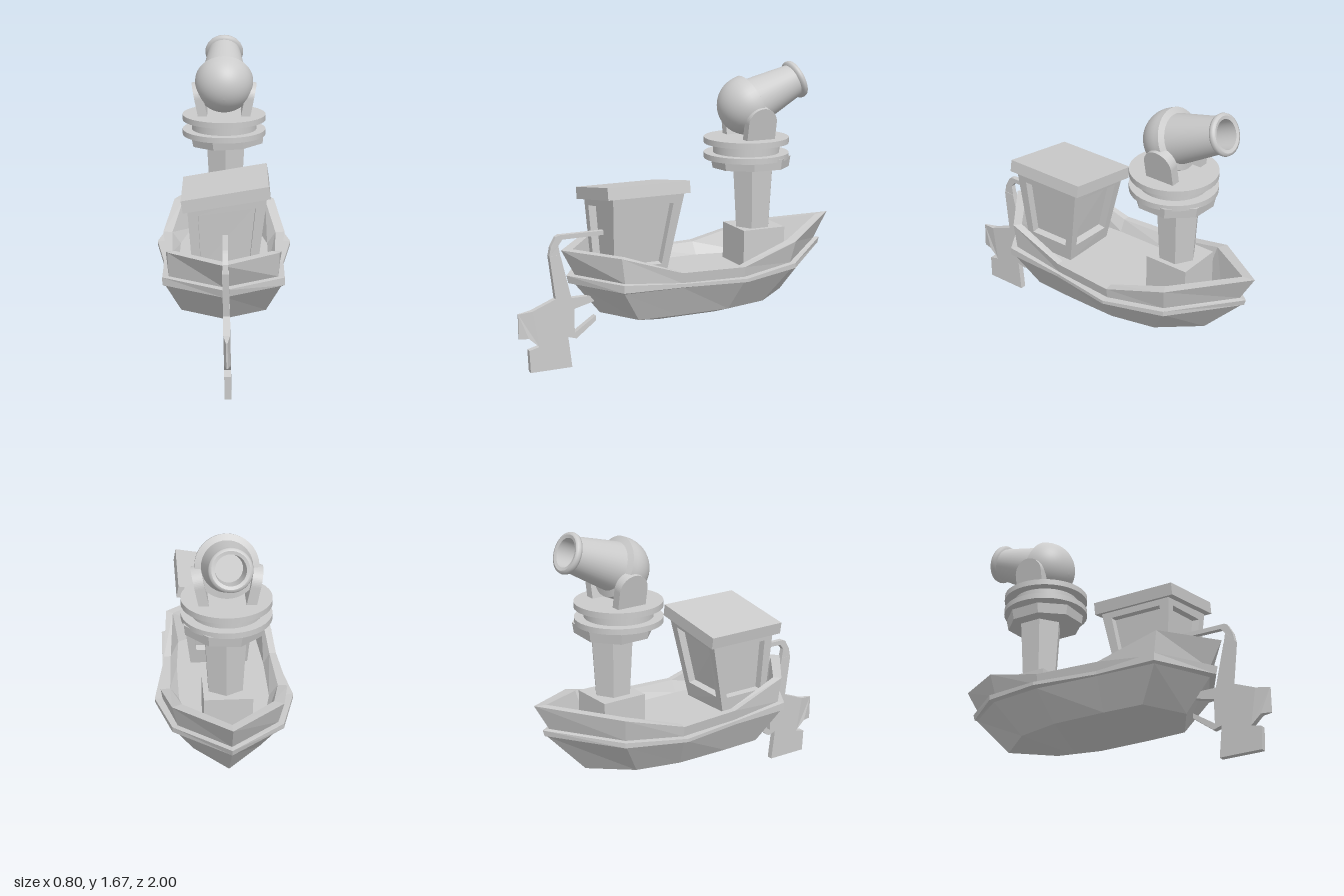
import * as THREE from 'three';

const V = (x, y, z) => new THREE.Vector3(x, y, z);
const flat = new THREE.MeshStandardMaterial({ color: 0xcccccc, flatShading: true });
const thin = new THREE.MeshStandardMaterial({ color: 0xcccccc, flatShading: true, side: THREE.DoubleSide });
const smooth = new THREE.MeshStandardMaterial({ color: 0xcccccc });

function add(parent, name, geometry, material, x = 0, y = 0, z = 0) {
  const mesh = new THREE.Mesh(geometry, material);
  mesh.name = name;
  mesh.position.set(x, y, z);
  parent.add(mesh);
  return mesh;
}

// Faceted geometry from quads of four corners each
function quadGeometry(quads) {
  const pts = [];
  for (const [a, b, c, d] of quads) pts.push(a, b, c, a, c, d);
  const g = new THREE.BufferGeometry().setFromPoints(pts);
  g.computeVertexNormals();
  return g;
}

// Half outline from bow to stern as [x, y, z], mirrored to a closed ring
function ring(half) {
  const right = half.map(p => V(...p));
  const left = half.slice(1, -1).reverse().map(([x, y, z]) => V(-x, y, z));
  return [...right, ...left];
}

// Skin a stack of rings
function skin(rings) {
  const quads = [];
  for (let k = 0; k + 1 < rings.length; k++) {
    const a = rings[k], b = rings[k + 1], n = a.length;
    for (let i = 0; i < n; i++) {
      const j = (i + 1) % n;
      quads.push([a[i], b[i], b[j], a[j]]);
    }
  }
  return quadGeometry(quads);
}

function buildHull() {
  const keel = [[0, 0.2, -0.24], [0, 0.2, -0.24], [0, 0.2, -0.22], [0, 0.2, 0.13], [0, 0.2, 0.13], [0, 0.2, 0.13]];
  const chine = [[0, 0.29, -0.68], [0.19, 0.29, -0.46], [0.25, 0.29, -0.2], [0.25, 0.29, 0.12], [0.24, 0.29, 0.36], [0, 0.29, 0.5]];
  const shoulder = [[0, 0.54, -0.92], [0.29, 0.49, -0.59], [0.36, 0.475, -0.25], [0.335, 0.475, 0.13], [0.32, 0.475, 0.48], [0, 0.475, 0.65]];
  const railLow = [[0, 0.55, -0.94], [0.31, 0.5, -0.61], [0.4, 0.48, -0.25], [0.345, 0.48, 0.13], [0.34, 0.485, 0.49], [0, 0.485, 0.69]];
  const railTop = [[0, 0.585, -0.95], [0.31, 0.53, -0.61], [0.4, 0.5, -0.25], [0.345, 0.5, 0.13], [0.34, 0.53, 0.49], [0, 0.53, 0.7]];
  const wallLow = [[0, 0.585, -0.91], [0.28, 0.53, -0.59], [0.355, 0.5, -0.25], [0.325, 0.5, 0.13], [0.305, 0.53, 0.47], [0, 0.53, 0.65]];
  const wallTop = [[0, 0.74, -1], [0.31, 0.66, -0.61], [0.365, 0.56, -0.25], [0.335, 0.56, 0.13], [0.31, 0.675, 0.49], [0, 0.68, 0.73]];
  const inner = [[0, 0.73, -0.92], [0.255, 0.66, -0.58], [0.31, 0.56, -0.24], [0.295, 0.56, 0.13], [0.27, 0.675, 0.46], [0, 0.68, 0.66]];
  const deck = [[0, 0.49, -0.8], [0.2, 0.49, -0.55], [0.26, 0.49, -0.24], [0.26, 0.49, 0.13], [0.24, 0.49, 0.43], [0, 0.49, 0.58]];
  const centre = deck.map(([, y, z]) => [0, y, z]);
  return skin([keel, chine, shoulder, railLow, railTop, wallLow, wallTop, inner, deck, centre].map(ring));
}

// Tapered cabin whose four walls each have a recessed window
function buildCabin() {
  const bottom = [V(-0.165, 0.48, 0.48), V(0.175, 0.48, 0.48), V(0.175, 0.48, 0.17), V(-0.165, 0.48, 0.17)];
  const top = [V(-0.2, 0.95, 0.51), V(0.24, 1.02, 0.51), V(0.24, 1.02, 0.07), V(-0.2, 0.95, 0.07)];
  const quads = [top.slice()];
  for (let i = 0; i < 4; i++) {
    const j = (i + 1) % 4;
    const outer = [bottom[i], bottom[j], top[j], top[i]];
    const at = (u, v) => bottom[i].clone().lerp(bottom[j], u).lerp(top[i].clone().lerp(top[j], u), v);
    const hole = [at(0.13, 0.2), at(0.87, 0.2), at(0.87, 0.86), at(0.13, 0.86)];
    const normal = outer[1].clone().sub(outer[0]).cross(outer[3].clone().sub(outer[0])).normalize();
    const back = hole.map(p => p.clone().addScaledVector(normal, -0.045));
    for (let k = 0; k < 4; k++) {
      const m = (k + 1) % 4;
      quads.push([outer[k], outer[m], hole[m], hole[k]], [hole[k], hole[m], back[m], back[k]]);
    }
    quads.push(back);
  }
  return quadGeometry(quads);
}

// Plate drawn as [z, y] points and given thickness across x, leaning and thinning aft
function plate(points, thickness) {
  const shape = new THREE.Shape(points.map(([z, y]) => new THREE.Vector2(z, y)));
  const g = new THREE.ExtrudeGeometry(shape, { depth: thickness, bevelEnabled: false });
  g.translate(0, 0, -thickness / 2).rotateY(-Math.PI / 2);
  const p = g.attributes.position;
  for (let i = 0; i < p.count; i++) {
    const y = p.getY(i), z = p.getZ(i);
    const taper = z > 0.97 ? 0.25 : 1;
    p.setX(i, p.getX(i) * taper + 0.01 + 0.016 * Math.max(0, 1 - y / 0.7));
  }
  g.computeVertexNormals();
  return g;
}

function buildRudder() {
  const group = new THREE.Group();
  group.name = 'rudder';
  add(group, 'rudderBlade', plate([
    [0.81, 0.66], [0.745, 0.66], [0.685, 0.405], [0.57, 0.405], [0.55, 0.385], [0.55, 0.37], [0.67, 0.34],
    [0.67, 0.2], [0.54, 0.285], [0.54, 0.255], [0.66, 0.165], [0.71, 0.18], [0.69, 0], [0.94, 0],
    [0.945, 0.13], [0.885, 0.145], [0.945, 0.2], [1, 0.2], [1, 0.345], [0.92, 0.355], [0.78, 0.41],
  ], 0.036), thin);
  add(group, 'tiller', plate([
    [0.81, 0.66], [0.8, 0.71], [0.77, 0.765], [0.75, 0.775], [0.48, 0.775], [0.48, 0.75], [0.73, 0.748],
    [0.755, 0.715], [0.745, 0.66],
  ], 0.03), thin);
  return group;
}

function buildTurret() {
  const group = new THREE.Group();
  group.name = 'turret';
  group.position.set(0, 0, -0.44);

  // Stacked turning rings
  for (const [name, r, y, h] of [['lowerRing', 0.25, 1.138, 0.033], ['ringCore', 0.195, 1.18, 0.07], ['upperRing', 0.25, 1.228, 0.034]])
    add(group, name, new THREE.CylinderGeometry(r, r, h, 40), smooth, 0, y, 0);

  // Round-topped cheeks leaning outward
  const cheek = new THREE.Shape();
  cheek.moveTo(-0.09, 0);
  cheek.lineTo(0.09, 0);
  cheek.lineTo(0.09, 0.115);
  cheek.absarc(0, 0.115, 0.09, 0, Math.PI, false);
  cheek.closePath();
  const cheekGeometry = new THREE.ExtrudeGeometry(cheek, { depth: 0.055, bevelEnabled: false, curveSegments: 16 });
  cheekGeometry.translate(0, 0, -0.0275).rotateY(Math.PI / 2);
  for (const side of [-1, 1])
    add(group, side > 0 ? 'leftCheek' : 'rightCheek', cheekGeometry, smooth, side * 0.127, 1.235, -0.015).rotation.z = -side * 0.2;

  // Cannon: round breech, tapered barrel, lip and bore, split so edges stay sharp
  const cannon = new THREE.Group();
  cannon.name = 'cannon';
  cannon.position.set(0, 1.43, 0);
  cannon.rotation.x = -THREE.MathUtils.degToRad(67.5);
  group.add(cannon);
  const lathe = (name, pts) => add(cannon, name, new THREE.LatheGeometry(pts.map(([r, y]) => new THREE.Vector2(r, y)), 40), smooth);
  const breech = [];
  for (let i = 0; i <= 16; i++) {
    const a = -Math.PI / 2 + (i / 16) * Math.PI / 2;
    breech.push([Math.max(0, 0.174 * Math.cos(a)), 0.174 * Math.sin(a)]);
  }
  lathe('breech', [...breech, [0.174, 0.03]]);
  lathe('breechShoulder', [[0.174, 0.03], [0.138, 0.045]]);
  lathe('barrel', [[0.14, 0.04], [0.098, 0.335]]);
  lathe('muzzleLip', [[0.098, 0.325], [0.113, 0.332], [0.117, 0.345], [0.113, 0.36], [0.1, 0.365]]);
  lathe('muzzleFace', [[0.1, 0.365], [0.082, 0.36]]);
  lathe('bore', [[0.082, 0.36], [0.075, 0.18]]);
  lathe('boreEnd', [[0.075, 0.18], [0, 0.18]]);
  return group;
}

export function createModel() {
  const model = new THREE.Group();
  model.name = 'cannonBoat';
  add(model, 'hull', buildHull(), flat);

  // Cabin with its crooked roof
  add(model, 'cabin', buildCabin(), flat);
  add(model, 'cabinRoof', new THREE.BoxGeometry(0.485, 0.07, 0.5), flat, 0.012, 0.992, 0.295).rotation.z = 0.17;

  // Mast foot, column and crooked collar under the turret
  add(model, 'mastFoot', new THREE.BoxGeometry(0.27, 0.24, 0.27), flat, 0, 0.59, -0.495);
  add(model, 'mastColumn', new THREE.CylinderGeometry(0.132, 0.108, 0.39, 6), flat, 0.01, 0.885, -0.482);
  const collar = add(model, 'mastCollar', new THREE.CylinderGeometry(0.235, 0.225, 0.06, 8), flat, 0.022, 1.095, -0.46);
  collar.rotation.set(-0.03, Math.PI / 8, 0.06);

  model.add(buildTurret(), buildRudder());
  return model;
}
